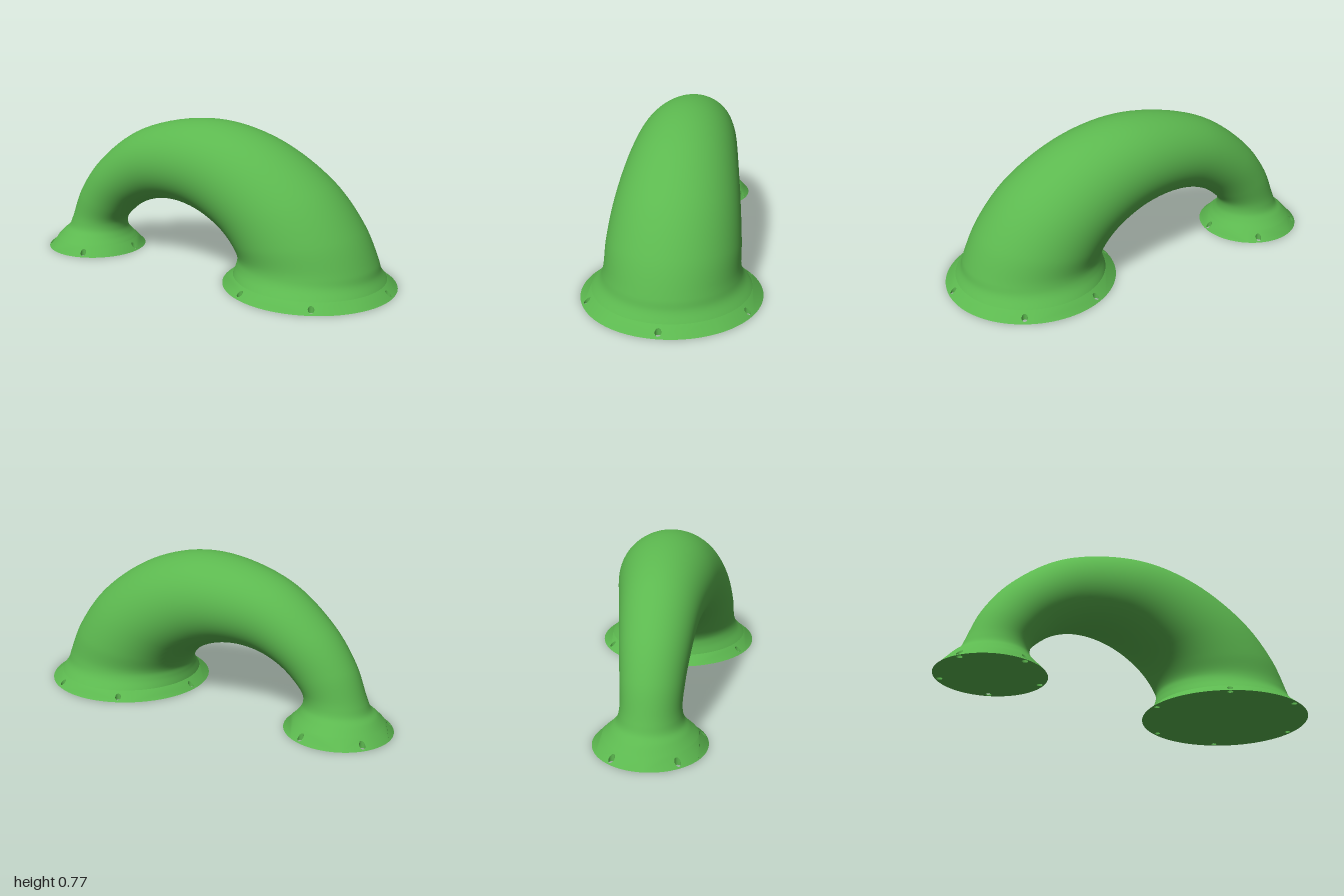
import * as THREE from 'three';

const material = new THREE.MeshStandardMaterial({ color: 0x5cb84f });
const inside = new THREE.MeshStandardMaterial({ color: 0x5cb84f, side: THREE.BackSide });
const SIDES = 96;
const HOLE = 0.015;

// Flanges: centre x, outer radius, inner radius and height of the conical rim, bolt holes
const flanges = [
  { name: 'smallFlange', x: -0.7325, r: 0.2675, inner: 0.22, h: 0.05, holeR: 0.247, angles: [0, 72, 144, 216, 288] },
  { name: 'largeFlange', x: 0.567, r: 0.433, inner: 0.38, h: 0.045, holeR: 0.409, angles: [0, 65, 119.5, 180, 240.5, 295] },
];

// Tube sections: outer x, y, inner x, y, half width in z
const sections = [
  [-0.9525, 0.05, -0.5125, 0.05, 0.22],
  [-0.92, 0.085, -0.538, 0.082, 0.184],
  [-0.888, 0.112, -0.553, 0.118, 0.156],
  [-0.866, 0.16, -0.548, 0.165, 0.144],
  [-0.80, 0.32, -0.50, 0.22, 0.15],
  [-0.665, 0.50, -0.42, 0.28, 0.168],
  [-0.40, 0.69, -0.31, 0.322, 0.196],
  [0.01, 0.775, -0.18, 0.335, 0.24],
  [0.35, 0.705, -0.04, 0.31, 0.272],
  [0.66, 0.51, 0.09, 0.25, 0.303],
  [0.83, 0.30, 0.165, 0.185, 0.32],
  [0.905, 0.14, 0.2, 0.125, 0.326],
  [0.92, 0.09, 0.199, 0.09, 0.342],
  [0.947, 0.045, 0.187, 0.045, 0.38],
];

function circlePath(x, y, r, n, PathType = THREE.Path) {
  const pts = [];
  for (let i = 0; i < n; i++) {
    const a = (i / n) * Math.PI * 2;
    pts.push(new THREE.Vector2(x + r * Math.cos(a), y + r * Math.sin(a)));
  }
  return new PathType(pts);
}

function add(parent, name, geometry, mat = material) {
  const mesh = new THREE.Mesh(geometry, mat);
  mesh.name = name;
  parent.add(mesh);
  return mesh;
}

// Loft of oval sections, flaring out at both ends
function tubeGeometry() {
  const outer = new THREE.CatmullRomCurve3(sections.map(s => new THREE.Vector3(s[0], s[1], s[4])));
  const inner = new THREE.CatmullRomCurve3(sections.map(s => new THREE.Vector3(s[2], s[3], 0)));
  const steps = (sections.length - 1) * 8;
  const pos = [], idx = [];
  for (let i = 0; i <= steps; i++) {
    const o = outer.getPoint(i / steps), n = inner.getPoint(i / steps);
    for (let j = 0; j < SIDES; j++) {
      const a = (j / SIDES) * Math.PI * 2, c = Math.cos(a);
      pos.push((o.x + n.x + (o.x - n.x) * c) / 2, (o.y + n.y + (o.y - n.y) * c) / 2, o.z * Math.sin(a));
      if (i === steps) continue;
      const p = i * SIDES + j, q = i * SIDES + (j + 1) % SIDES;
      idx.push(p, q, q + SIDES, p, q + SIDES, p + SIDES);
    }
  }
  const g = new THREE.BufferGeometry();
  g.setAttribute('position', new THREE.Float32BufferAttribute(pos, 3));
  g.setIndex(idx);
  g.computeVertexNormals();
  return g;
}

function buildFlange(f) {
  const group = new THREE.Group();
  group.name = f.name;
  group.position.x = f.x;
  const slope = f.h / (f.r - f.inner);
  const coneY = (x, z) => (f.r - Math.hypot(x, z)) * slope;
  const centres = f.angles.map(d => {
    const a = THREE.MathUtils.degToRad(d);
    return [f.holeR * Math.cos(a), f.holeR * Math.sin(a)];
  });
  const disc = () => {
    const shape = circlePath(0, 0, f.r, SIDES, THREE.Shape);
    centres.forEach(([x, y]) => shape.holes.push(circlePath(x, y, HOLE, 16)));
    return shape;
  };

  // Flat underside
  add(group, 'underside', new THREE.ShapeGeometry(disc()).rotateX(Math.PI / 2));

  // Drilled ring raised into a cone
  const ring = disc();
  ring.holes.push(circlePath(0, 0, f.inner, SIDES));
  const rim = new THREE.ShapeGeometry(ring).rotateX(-Math.PI / 2);
  const p = rim.attributes.position, n = rim.attributes.normal, v = new THREE.Vector3();
  for (let i = 0; i < p.count; i++) {
    const x = p.getX(i), z = p.getZ(i), r = Math.hypot(x, z);
    p.setY(i, coneY(x, z));
    v.set(slope * x / r, 1, slope * z / r).normalize();
    n.setXYZ(i, v.x, v.y, v.z);
  }
  add(group, 'rim', rim);

  // Walls of the bolt holes, cut off at the sloping rim
  centres.forEach(([x, y]) => {
    const wall = new THREE.CylinderGeometry(HOLE, HOLE, 1, 16, 1, true).translate(x, 0.5, -y);
    const w = wall.attributes.position;
    for (let i = 0; i < w.count; i++) if (w.getY(i) > 0.5) w.setY(i, coneY(w.getX(i), w.getZ(i)));
    add(group, 'boltHole', wall, inside);
  });
  return group;
}

export function createModel() {
  const model = new THREE.Group();
  model.name = 'flangedPipeBend';
  add(model, 'taperedTube', tubeGeometry());
  flanges.forEach(f => model.add(buildFlange(f)));
  return model;
}
